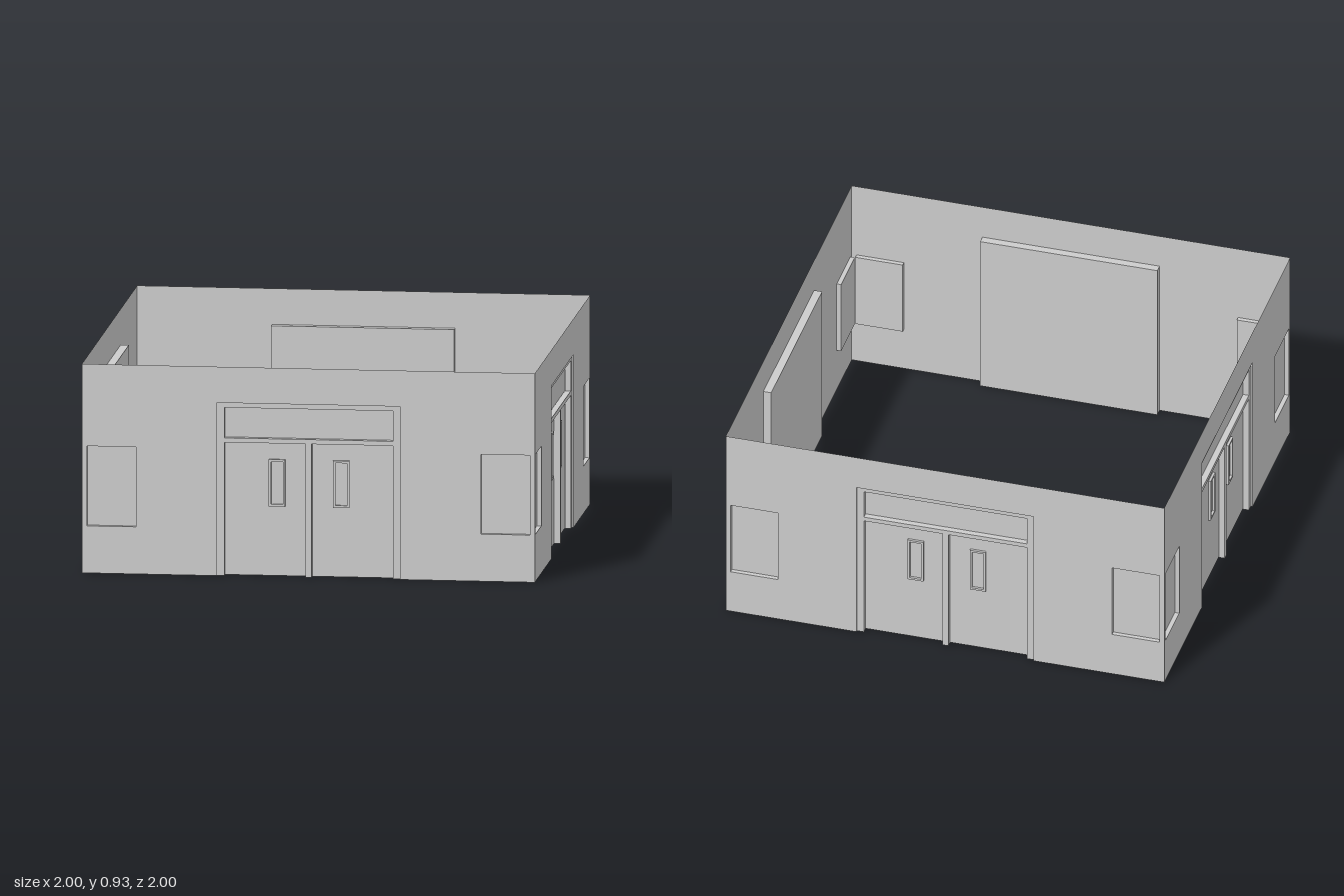
import * as THREE from 'three';

const H = 0.93;                                               // wall height
const DOOR = { x0: -0.404, x1: 0.404, y0: 0, y1: 0.77 };      // doorway recess
const WINDOWS = [-1, 1].map(s => ({
  x0: s < 0 ? -0.978 : 0.762, x1: s < 0 ? -0.762 : 0.978, y0: 0.21, y1: 0.565,
}));
const DOOR_DEPTH = 0.036, WINDOW_DEPTH = 0.02;

const sheet = new THREE.MeshStandardMaterial({ color: 0xcccccc, flatShading: true, side: THREE.DoubleSide });
const solid = new THREE.MeshStandardMaterial({ color: 0xcccccc, flatShading: true });

function add(group, name, geometry, material, z = 0) {
  const mesh = new THREE.Mesh(geometry, material);
  mesh.name = name;
  mesh.position.z = z;
  group.add(mesh);
}

function rect(Type, { x0, x1, y0, y1 }) {
  return new Type([[x0, y0], [x1, y0], [x1, y1], [x0, y1]].map(p => new THREE.Vector2(...p)));
}

function polygon(points) {
  return new THREE.Shape(points.map(p => new THREE.Vector2(...p)));
}

// Box shell sunk behind z = 0 with its front (and optionally its bottom) left open
function recess({ x0, x1, y0, y1 }, depth, openBottom) {
  const g = new THREE.BoxGeometry(x1 - x0, y1 - y0, depth);
  g.translate((x0 + x1) / 2, (y0 + y1) / 2, -depth / 2);
  const index = Array.from(g.index.array);
  index.splice(24, 6);
  if (openBottom) index.splice(18, 6);
  g.clearGroups();
  g.setIndex(index);
  return g;
}

function extrude(shape, depth) {
  return new THREE.ExtrudeGeometry(shape, { depth, bevelEnabled: false });
}

// One side of the enclosure, with its outer face on z = 0
function createSide() {
  const side = new THREE.Group();

  // Thin wall, notched for the doorway and pierced for the windows
  const wall = polygon([[-1, 0], [DOOR.x0, 0], [DOOR.x0, DOOR.y1], [DOOR.x1, DOOR.y1],
    [DOOR.x1, 0], [1, 0], [1, H], [-1, H]]);
  WINDOWS.forEach(w => wall.holes.push(rect(THREE.Path, w)));
  add(side, 'wall', new THREE.ShapeGeometry(wall), sheet);

  // Sunken window panels
  WINDOWS.forEach(w => add(side, 'windowRecess', recess(w, WINDOW_DEPTH, false), sheet));

  // Sunken doorway, whose back forms the door leaves and transom panel
  add(side, 'doorRecess', recess(DOOR, DOOR_DEPTH, true), sheet);

  // Frame: jambs, centre post, header and transom opening
  const inner = 0.372, post = 0.013, doorTop = 0.593;
  const frame = polygon([[DOOR.x0, 0], [-inner, 0], [-inner, doorTop], [-post, doorTop], [-post, 0],
    [post, 0], [post, doorTop], [inner, doorTop], [inner, 0], [DOOR.x1, 0],
    [DOOR.x1, DOOR.y1], [DOOR.x0, DOOR.y1]]);
  frame.holes.push(rect(THREE.Path, { x0: -inner, x1: inner, y0: 0.613, y1: 0.748 }));
  add(side, 'doorFrame', extrude(frame, 0.027), solid, -DOOR_DEPTH + 0.001);

  // Raised rim around the narrow light in each door leaf
  for (const cx of [-0.142, 0.142]) {
    const rim = rect(THREE.Shape, { x0: cx - 0.036, x1: cx + 0.036, y0: 0.309, y1: 0.518 });
    rim.holes.push(rect(THREE.Path, { x0: cx - 0.026, x1: cx + 0.026, y0: 0.319, y1: 0.508 }));
    add(side, 'doorWindowRim', extrude(rim, 0.011), solid, -DOOR_DEPTH + 0.001);
  }
  return side;
}

export function createModel() {
  const model = new THREE.Group();
  model.name = 'entranceHall';

  // Four identical sides around the square
  ['front', 'left', 'back', 'right'].forEach((name, i) => {
    const side = createSide();
    const angle = i * Math.PI / 2;
    side.name = name + 'Side';
    side.rotation.y = angle;
    side.position.set(Math.sin(angle), 0, Math.cos(angle));
    model.add(side);
  });
  return model;
}
